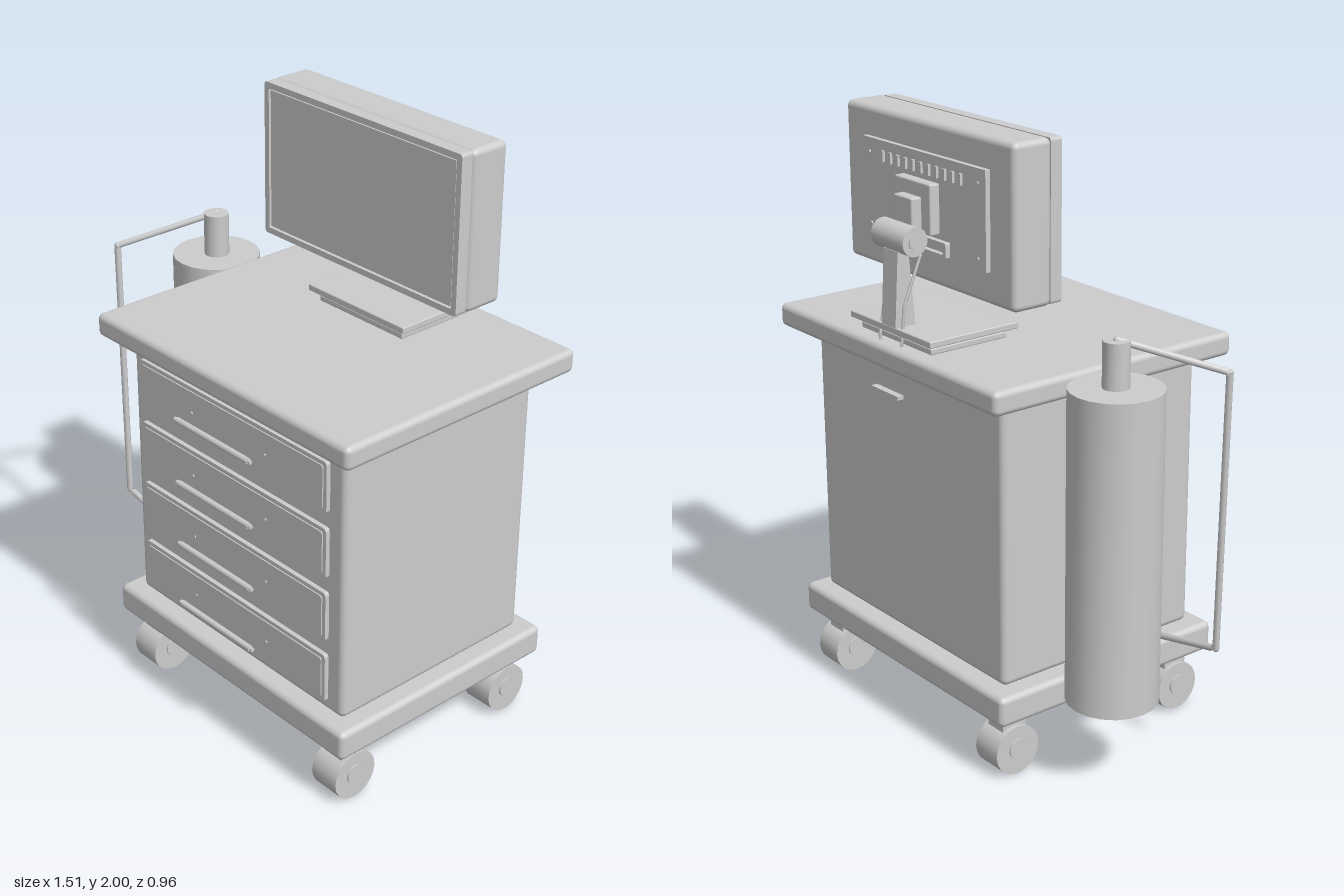
import * as THREE from 'three';
import { RoundedBoxGeometry } from 'three/addons/geometries/RoundedBoxGeometry.js';
import { toCreasedNormals } from 'three/addons/utils/BufferGeometryUtils.js';

const grey = new THREE.MeshStandardMaterial({ color: 0xcccccc });
grey.name = 'light grey';

export function createModel() {
  const model = new THREE.Group();
  model.name = 'medicalCart';

  const add = (name, geometry, x = 0, y = 0, z = 0, parent = model) => {
    const mesh = new THREE.Mesh(geometry, grey);
    mesh.name = name;
    mesh.position.set(x, y, z);
    parent.add(mesh);
    return mesh;
  };
  // Box given by its limits on each axis, optionally with rounded edges
  const box = (name, [x0, x1], [y0, y1], [z0, z1], r = 0, parent = model) => {
    const s = [x1 - x0, y1 - y0, z1 - z0];
    const geo = r ? new RoundedBoxGeometry(...s, 3, r) : new THREE.BoxGeometry(...s);
    return add(name, geo, (x0 + x1) / 2, (y0 + y1) / 2, (z0 + z1) / 2, parent);
  };
  const cylinder = (r, h, sides = 24, axis = 'y') => {
    const geo = toCreasedNormals(new THREE.CylinderGeometry(r, r, h, sides), 0.4);
    if (axis === 'x') geo.rotateZ(Math.PI / 2);
    if (axis === 'z') geo.rotateX(Math.PI / 2);
    return geo;
  };
  const roundedRect = (target, w, h, r) => {
    const x = w / 2, y = h / 2;
    target.moveTo(-x + r, -y);
    target.lineTo(x - r, -y).quadraticCurveTo(x, -y, x, -y + r);
    target.lineTo(x, y - r).quadraticCurveTo(x, y, x - r, y);
    target.lineTo(-x + r, y).quadraticCurveTo(-x, y, -x, y - r);
    target.lineTo(-x, -y + r).quadraticCurveTo(-x, -y, -x + r, -y);
    return target;
  };
  // Upright plate with rounded corners, from z = 0 to z = depth
  const plate = (w, h, depth, r, hole) => {
    const shape = roundedRect(new THREE.Shape(), w, h, r);
    if (hole) shape.holes.push(roundedRect(new THREE.Path(), hole[0], hole[1], r * 0.4));
    return new THREE.ExtrudeGeometry(shape, { depth, bevelEnabled: false, curveSegments: 4 });
  };
  // Tube through straight segments
  const tube = (name, points, r, sides = 8) => {
    const path = new THREE.CurvePath();
    const v = points.map(p => new THREE.Vector3(...p));
    for (let i = 1; i < v.length; i++) path.add(new THREE.LineCurve3(v[i - 1], v[i]));
    const mesh = add(name, new THREE.TubeGeometry(path, 80, r, sides));
    v.forEach(p => add(name + 'Joint', new THREE.SphereGeometry(r, sides, 6), p.x, p.y, p.z));
    return mesh;
  };

  // Cabinet body
  box('base', [-0.385, 0.725], [0.21, 0.312], [-0.447, 0.437], 0.02);
  box('cabinet', [-0.325, 0.668], [0.312, 1.24], [-0.39, 0.383], 0.022);
  box('worktopSpacer', [-0.28, 0.62], [1.23, 1.26], [-0.28, 0.0]);
  box('worktop', [-0.41, 0.755], [1.247, 1.325], [-0.482, 0.46], 0.02);

  // Drawers with handles
  for (let i = 0; i < 4; i++) {
    const y = 1.115 - i * 0.2233;
    add('drawerFront', plate(0.877, 0.172, 0.015, 0.012), 0.172, y, 0.39);
    add('drawerPanel', plate(0.85, 0.145, 0.004, 0.01), 0.172, y, 0.405);
    add('drawerHandle', cylinder(0.01, 0.335, 12, 'x'), 0.172, y, 0.47);
    for (const s of [-1, 1]) {
      add('handleEnd', cylinder(0.007, 0.012, 10, 'x'), 0.172 + s * 0.173, y, 0.47);
      add('handleScrew', cylinder(0.005, 0.004, 10, 'z'), 0.172 + s * 0.173, y, 0.411);
    }
  }

  // Casters
  for (const x of [-0.283, 0.625]) for (const z of [-0.347, 0.335]) {
    const caster = new THREE.Group();
    caster.name = 'caster';
    caster.position.set(x, 0, z);
    model.add(caster);
    add('wheel', cylinder(0.083, 0.108, 20, 'x'), 0, 0.085, 0, caster);
    add('wheelHub', cylinder(0.034, 0.12, 16, 'x'), 0, 0.092, 0, caster);
    box('bracket', [-0.038, 0.038], [0.14, 0.178], [-0.045, 0.045], 0, caster);
    add('stem', cylinder(0.02, 0.05, 12), 0, 0.19, 0, caster);
  }

  // Gas bottle with hose
  add('bottle', cylinder(0.147, 1.015, 20), -0.553, 0.8025, -0.145);
  add('bottleNeck', cylinder(0.042, 0.145, 16), -0.55, 1.3825, -0.145);
  tube('hose', [[-0.55, 1.455, -0.145], [-0.745, 1.35, 0.125],
    [-0.705, 0.43, 0.147], [-0.395, 0.365, 0.147]], 0.011);

  // Monitor
  const mx = 0.172, my = 1.745;
  box('monitorBody', [-0.262, 0.606], [1.49, 2], [-0.293, -0.15], 0.02);
  add('screenFrame', plate(0.855, 0.505, 0.042, 0.012, [0.815, 0.465]), mx, my, -0.152);
  add('screenBacking', plate(0.83, 0.48, 0.012, 0.005), mx, my, -0.15);
  add('screen', plate(0.805, 0.455, 0.026, 0.004), mx, my, -0.14);

  // Rear cover, vents and screws
  box('rearCover', [-0.147, 0.488], [1.595, 1.905], [-0.31, -0.29]);
  for (let i = 0; i < 11; i++) {
    const x = -0.03 + i * 0.0404;
    box('vent', [x - 0.006, x + 0.006], [1.84, 1.875], [-0.319, -0.309]);
  }
  for (const x of [-0.11, 0.45]) for (const y of [1.63, 1.86])
    add('coverScrew', cylinder(0.006, 0.006, 10, 'z'), x, y, -0.312);
  add('connectorPanel', plate(0.28, 0.05, 0.02, 0.006, [0.25, 0.026]), mx, 1.625, -0.328);

  // Mount and pivot
  box('mountPlate', [0.08, 0.265], [1.665, 1.825], [-0.347, -0.31], 0.006);
  box('mountBlock', [0.125, 0.22], [1.67, 1.78], [-0.384, -0.345], 0.006);
  add('pivot', cylinder(0.046, 0.17, 24, 'x'), mx, 1.655, -0.4);
  add('pivotCap', cylinder(0.024, 0.178, 16, 'x'), mx, 1.655, -0.4);

  // Column, wider towards its foot
  const side = new THREE.Shape();
  side.moveTo(0.447, 1.38);
  side.lineTo(0.372, 1.38).lineTo(0.392, 1.62).lineTo(0.432, 1.62).closePath();
  const column = new THREE.ExtrudeGeometry(side, { depth: 0.074, bevelEnabled: false });
  column.rotateY(Math.PI / 2);
  add('standColumn', column, 0.135, 0, 0);

  // Stand foot
  box('standFoot', [-0.044, 0.387], [1.358, 1.38], [-0.445, -0.108], 0.004);
  box('standPad', [-0.013, 0.36], [1.325, 1.345], [-0.42, -0.13], 0.004);
  box('standRiser', [0.02, 0.32], [1.34, 1.36], [-0.39, -0.16]);

  // Cables and outlet
  tube('leftCable', [[0.262, 1.6, -0.36], [0.25, 1.48, -0.4], [0.222, 1.34, -0.445], [0.222, 1.32, -0.445]], 0.005, 6);
  tube('rightCable', [[0.118, 1.6, -0.36], [0.118, 1.45, -0.425], [0.118, 1.24, -0.445]], 0.005, 6);
  box('cableOutlet', [0.1, 0.245], [1.16, 1.172], [-0.47, -0.447]);

  return model;
}
